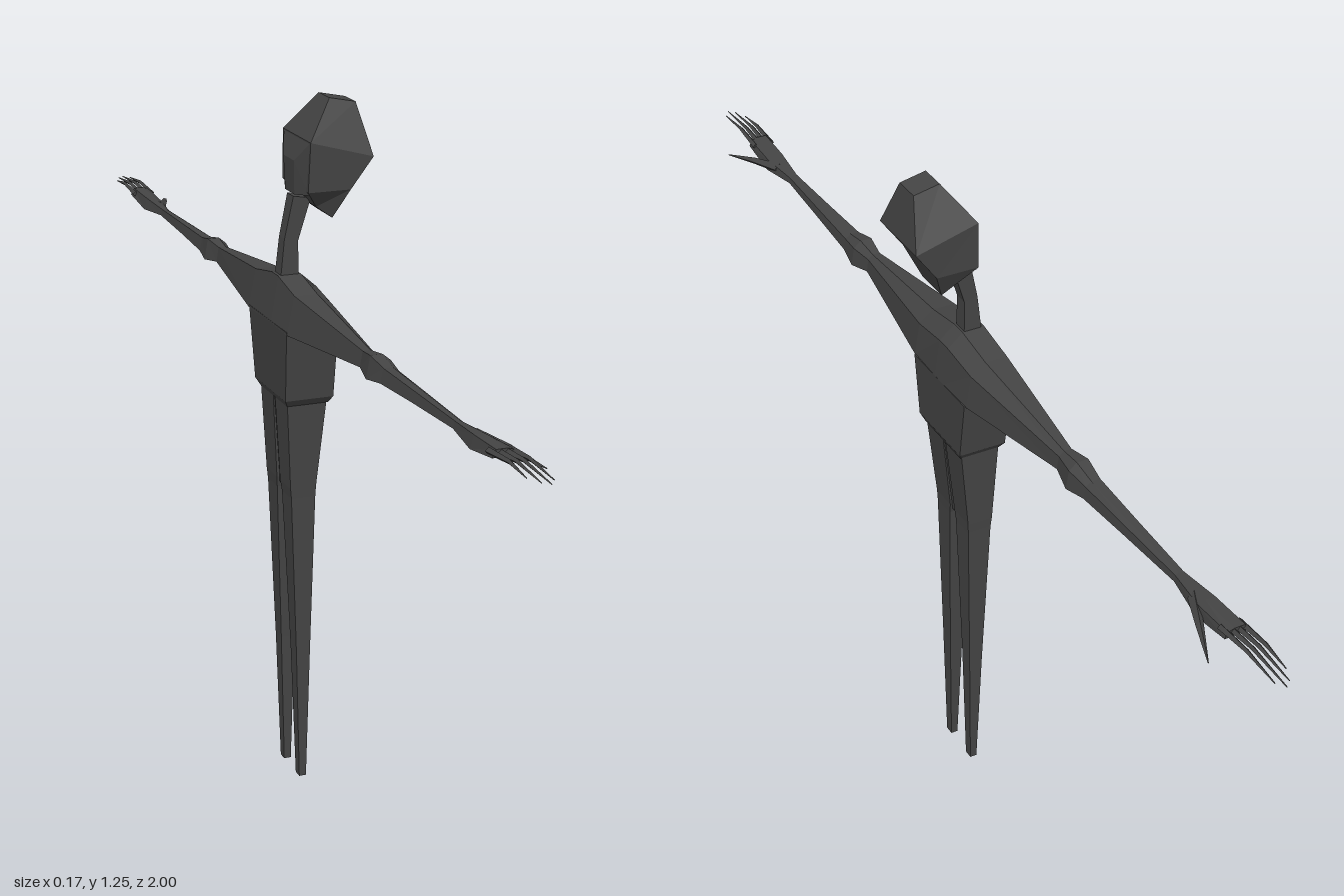
import * as THREE from 'three';

const material = new THREE.MeshStandardMaterial({ color: 0x444444, flatShading: true });

// Skin a list of equal-length rings of [x, y, z] points and close both ends.
function loft(name, rings) {
  const n = rings[0].length, tris = [];
  for (let r = 0; r < rings.length - 1; r++) {
    for (let i = 0; i < n; i++) {
      const j = (i + 1) % n;
      const a = rings[r][i], b = rings[r][j], c = rings[r + 1][j], d = rings[r + 1][i];
      tris.push([a, b, c], [a, c, d]);
    }
  }
  const end = rings[rings.length - 1];
  for (let i = 1; i < n - 1; i++) {
    tris.push([rings[0][0], rings[0][i + 1], rings[0][i]], [end[0], end[i], end[i + 1]]);
  }
  // Turn the faces outward if the enclosed volume comes out negative.
  let volume = 0;
  const o = new THREE.Vector3(...rings[0][0]);
  for (const t of tris) {
    const [a, b, c] = t.map((p) => new THREE.Vector3(...p).sub(o));
    volume += a.dot(b.cross(c));
  }
  if (volume < 0) tris.forEach((t) => t.reverse());
  const geometry = new THREE.BufferGeometry();
  geometry.setAttribute('position', new THREE.Float32BufferAttribute(tris.flat(2), 3));
  geometry.computeVertexNormals();
  const mesh = new THREE.Mesh(geometry, material);
  mesh.name = name;
  return mesh;
}

// Ring running front to back; back and front edges may sit at different heights.
const level = (xb, yb, xf, yf, z0, z1) => [[xb, yb, z0], [xf, yf, z0], [xf, yf, z1], [xb, yb, z1]];

// Upright ring across an arm at distance z, with a sloping front shoulder.
const across = (z, x0, x1, y0, y1) => {
  const w = x1 - x0, h = y1 - y0;
  return [[x0, y0 + h * 0.15, z], [x0 + w * 0.15, y1, z], [x0 + w * 0.6, y1, z],
    [x0 + w * 0.9, y0 + h * 0.74, z], [x1, y0, z]];
};

// Tapering spike with a bend, for fingers and thumbs.
const spike = (name, points, radii) => loft(name, points.map(([x, y, z], i) => {
  const r = radii[i];
  return [[x - r, y, z], [x, y + r, z], [x + r, y, z], [x, y - r, z]];
}));

export function createModel() {
  const model = new THREE.Group();
  model.name = 'slenderFigure';

  // Head: faceted skull leaning towards +x, with a raised panel at the back
  model.add(loft('head', [
    level(0.02, 1.253, 0.068, 1.243, -0.025, 0.025),
    level(-0.03, 1.187, 0.085, 1.155, -0.066, 0.066),
    level(-0.033, 1.1, 0.045, 1.1, -0.062, 0.062),
    level(-0.008, 1.068, 0.022, 1.046, -0.034, 0.034),
  ]));
  model.add(loft('backOfHead', [
    [[-0.045, 1.15, -0.025], [-0.045, 1.15, 0.025], [-0.043, 1.09, 0.022], [-0.043, 1.09, -0.022]],
    [[-0.029, 1.187, -0.064], [-0.029, 1.187, 0.064], [-0.03, 1.095, 0.06], [-0.03, 1.095, -0.06]],
  ]));

  // Neck
  model.add(loft('neck', [
    level(-0.067, 0.93, -0.032, 0.93, -0.015, 0.015),
    level(-0.058, 1.01, -0.033, 1.005, -0.013, 0.013),
    level(-0.042, 1.085, -0.01, 1.08, -0.015, 0.015),
  ]));

  // Torso and shoulders
  model.add(loft('torso', [
    level(-0.074, 0.725, 0.002, 0.725, -0.066, 0.066),
    level(-0.081, 0.738, 0.008, 0.738, -0.076, 0.076),
    level(-0.085, 0.868, 0.009, 0.852, -0.093, 0.093),
  ]));
  model.add(loft('shoulders', [
    across(-0.095, -0.085, 0.007, 0.851, 0.932),
    across(-0.015, -0.085, 0.009, 0.851, 0.947),
    across(0.015, -0.085, 0.009, 0.851, 0.947),
    across(0.095, -0.085, 0.007, 0.851, 0.932),
  ]));

  // Pelvis wedge between the legs
  model.add(loft('pelvis', [
    level(-0.072, 0.735, -0.002, 0.735, -0.05, 0.05),
    level(-0.06, 0.56, -0.023, 0.56, -0.014, 0.014),
  ]));

  for (const [side, s] of [['left', -1], ['right', 1]]) {
    // Arm: upper arm, elbow swelling, forearm, wrist and palm
    model.add(loft(side + 'Arm', [
      [0.095, -0.085, 0.007, 0.851, 0.932],
      [0.35, -0.056, -0.025, 0.874, 0.906],
      [0.395, -0.064, -0.016, 0.866, 0.912],
      [0.44, -0.058, -0.022, 0.874, 0.903],
      [0.56, -0.054, -0.026, 0.879, 0.9],
      [0.7, -0.05, -0.031, 0.883, 0.897],
      [0.78, -0.059, -0.02, 0.876, 0.902],
      [0.86, -0.061, -0.019, 0.89, 0.905],
    ].map(([z, ...box]) => across(s * z, ...box))));

    // Four fingers and a thumb
    for (let i = 0; i < 4; i++) {
      const x = -0.057 + i * 0.011, tip = [0.965, 0.99, 1, 0.985][i];
      model.add(spike(side + 'Finger' + (i + 1),
        [[x, 0.897, s * 0.84], [x, 0.903, s * 0.91], [x, 0.897, s * tip]], [0.006, 0.004, 0.001]));
    }
    model.add(spike(side + 'Thumb',
      [[-0.034, 0.889, s * 0.75], [-0.008, 0.884, s * 0.81], [0.019, 0.872, s * 0.877]], [0.011, 0.007, 0.001]));

    // Leg: tapers from the hip to a narrow stump
    model.add(loft(side + 'Leg', [
      [0.735, -0.074, 0, 0.004, 0.066],
      [0.57, -0.066, -0.018, 0.008, 0.06],
      [0.55, -0.064, -0.019, 0.012, 0.059],
      [0.25, -0.053, -0.027, 0.024, 0.053],
      [0, -0.046, -0.033, 0.03, 0.048],
    ].map(([y, xb, xf, z0, z1]) => level(xb, y, xf, y, s * z0, s * z1))));
  }
  return model;
}
